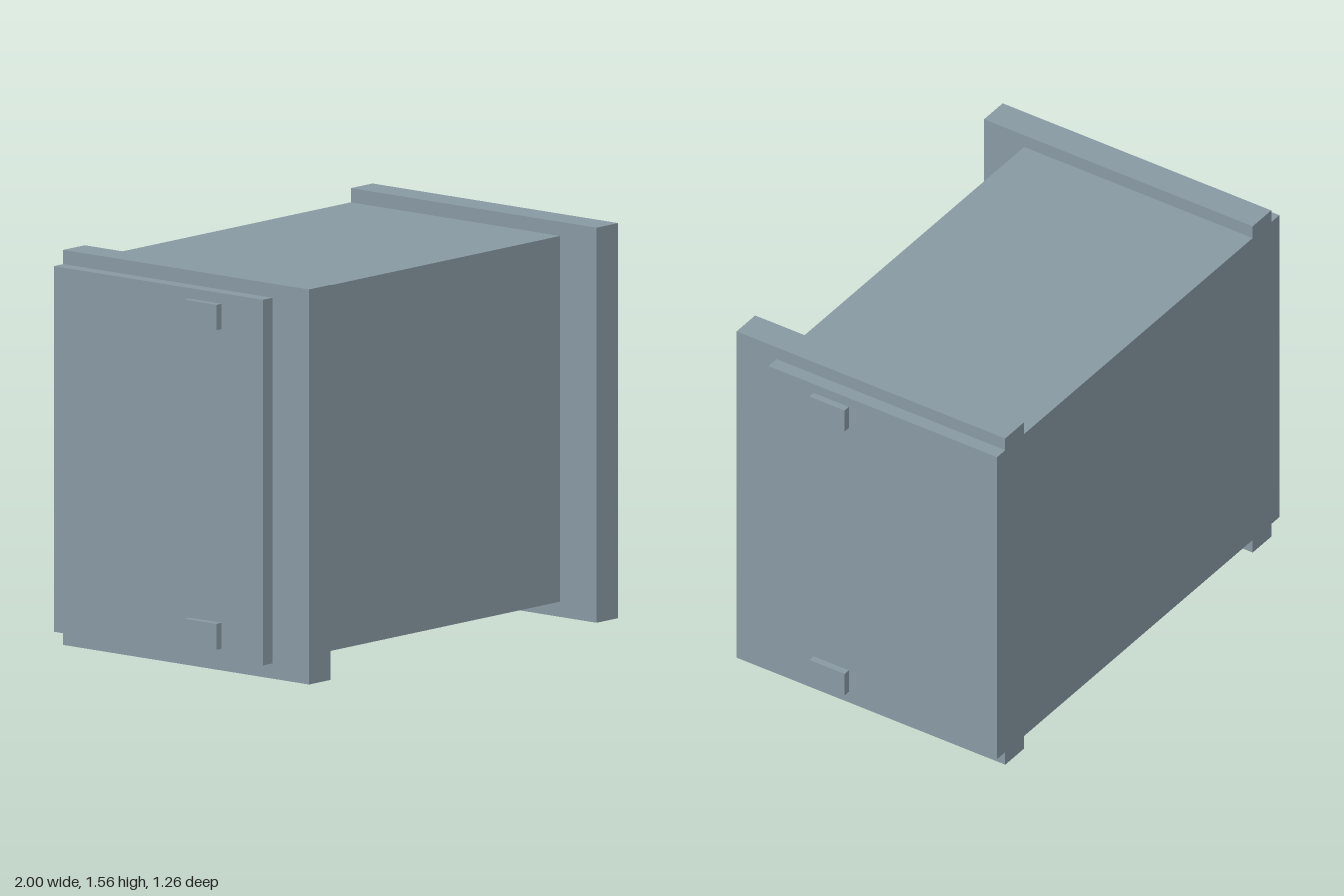
import * as THREE from 'three';

export function createModel() {
  const model = new THREE.Group();
  const greyBlue = new THREE.MeshStandardMaterial({ color: 0x8a9ba5 });
  greyBlue.name = 'greyBlue';

  // Box given by its extents on each axis
  function block(name, [x0, x1], [y0, y1], [z0, z1]) {
    const mesh = new THREE.Mesh(new THREE.BoxGeometry(x1 - x0, y1 - y0, z1 - z0), greyBlue);
    mesh.name = name;
    mesh.position.set((x0 + x1) / 2, (y0 + y1) / 2, (z0 + z1) / 2);
    model.add(mesh);
  }
  const span = (side, a, b) => (side > 0 ? [a, b] : [-b, -a]);

  const back = -0.63;
  const bodyY = [0.06, 1.502];
  const bodyZ = [back, 0.442];

  // Central cabinet between the two side frames
  block('cabinetBody', [-0.787, 0.787], bodyY, bodyZ);

  for (const side of [1, -1]) {
    const label = side > 0 ? 'left' : 'right';
    // Tall side frame, also serving as feet and front rail
    block(label + 'SideFrame', span(side, 0.787, 0.915), [0, 1.558], [back, 0.63]);
    // Outer side plate
    block(label + 'SidePlate', span(side, 0.915, 0.971), bodyY, bodyZ);
    // Small mounting lugs, bottom and top
    block(label + 'LowerLug', span(side, 0.971, 1), [0.1, 0.202], [0.065, 0.23]);
    block(label + 'UpperLug', span(side, 0.971, 1), [1.36, 1.46], [0.065, 0.23]);
  }
  return model;
}
